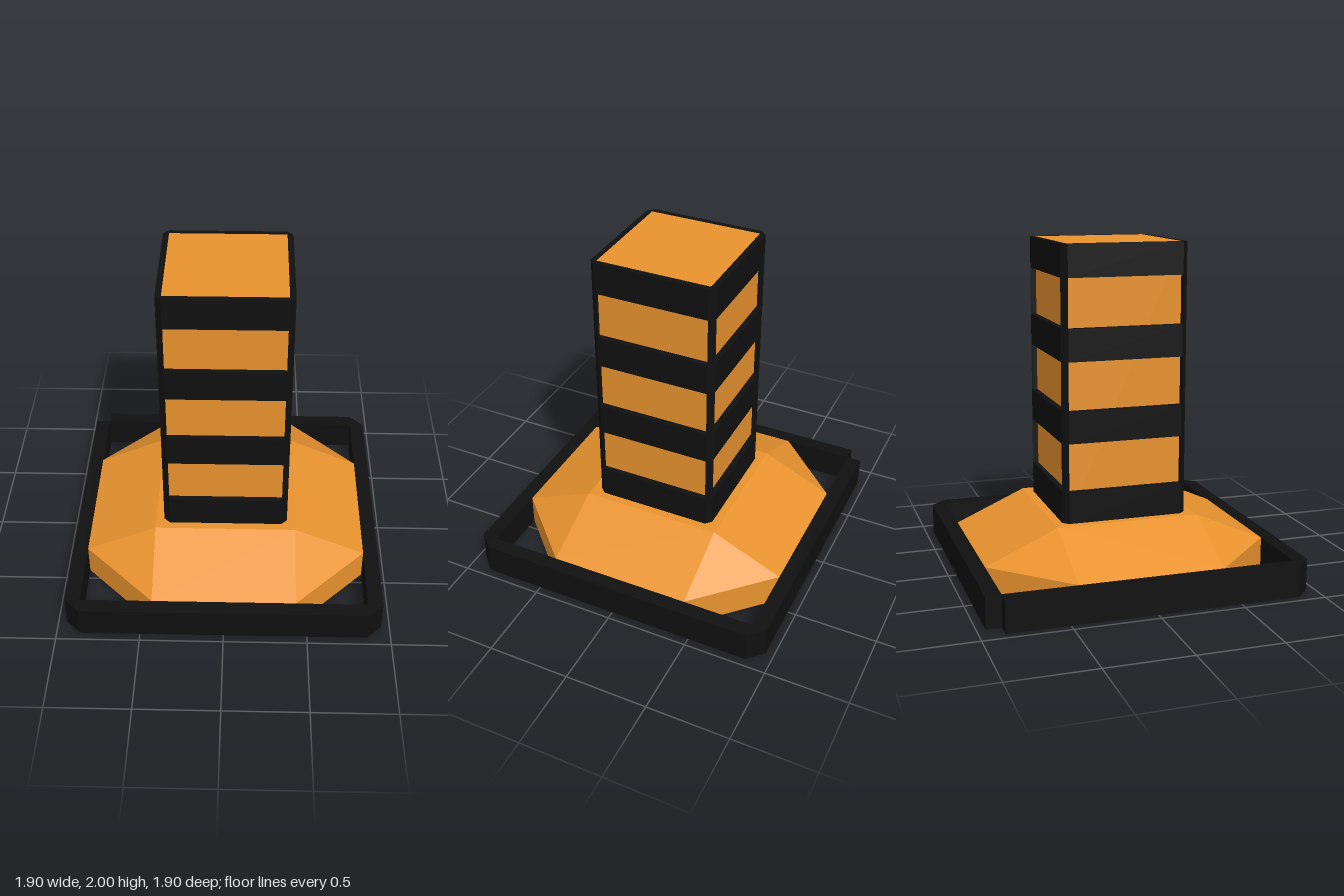
import * as THREE from 'three';
import { ConvexGeometry } from 'three/addons/geometries/ConvexGeometry.js';

const orange = new THREE.MeshStandardMaterial({ color: 0xe8922e, flatShading: true });
const black = new THREE.MeshStandardMaterial({ color: 0x101010, flatShading: true });

function addMesh(parent, name, geometry, material) {
  const mesh = new THREE.Mesh(geometry, material);
  mesh.name = name;
  parent.add(mesh);
  return mesh;
}

// Four straight bars between the inner and outer square, resting at height y
function addBars(parent, name, inner, outer, y, height) {
  for (let k = 0; k < 4; k++) {
    const bar = new THREE.BoxGeometry(2 * inner, height, outer - inner);
    bar.translate(0, y + height / 2, (inner + outer) / 2);
    addMesh(parent, name, bar, black).rotation.y = k * Math.PI / 2;
  }
}

// Triangular prisms that close the corners with a chamfer
function addCorners(parent, name, inner, outer, y, height, turns) {
  const triangle = new THREE.Shape([
    new THREE.Vector2(inner, -inner),
    new THREE.Vector2(inner, -outer),
    new THREE.Vector2(outer, -inner),
  ]);
  for (const k of turns) {
    const prism = new THREE.ExtrudeGeometry(triangle, { depth: height, bevelEnabled: false });
    prism.rotateX(-Math.PI / 2);
    prism.translate(0, y, 0);
    addMesh(parent, name, prism, black).rotation.y = k * Math.PI / 2;
  }
}

export function createModel() {
  const model = new THREE.Group();
  model.name = 'stripedBollard';

  // Base frame, open at its back corner on the -x side
  const frame = new THREE.Group();
  frame.name = 'baseFrame';
  addBars(frame, 'frameBar', 0.86, 0.95, 0, 0.19);
  addCorners(frame, 'frameCorner', 0.86, 0.95, 0, 0.19, [0, 1, 3]);
  model.add(frame);

  // Octagonal foot sloping up to a square plateau
  const points = [];
  for (const sx of [-1, 1]) {
    for (const sz of [-1, 1]) {
      for (const y of [0, 0.19]) {
        points.push(new THREE.Vector3(sx * 0.86, y, sz * 0.43));
        points.push(new THREE.Vector3(sx * 0.43, y, sz * 0.86));
      }
      points.push(new THREE.Vector3(sx * 0.43, 0.38, sz * 0.43));
    }
  }
  addMesh(model, 'foot', new ConvexGeometry(points), orange);

  // Tower core, seen between the bands and on top
  const core = new THREE.BoxGeometry(0.69, 1.62, 0.69);
  core.translate(0, 1.19, 0);
  addMesh(model, 'towerCore', core, orange);

  // Dark cage: four raised bands and four chamfered corner posts
  const cage = new THREE.Group();
  cage.name = 'towerCage';
  for (let i = 0; i < 4; i++) addBars(cage, 'band', 0.345, 0.38, 0.38 + i * 0.4767, 0.19);
  addCorners(cage, 'cornerPost', 0.345, 0.38, 0.38, 1.62, [0, 1, 2, 3]);
  model.add(cage);

  return model;
}
